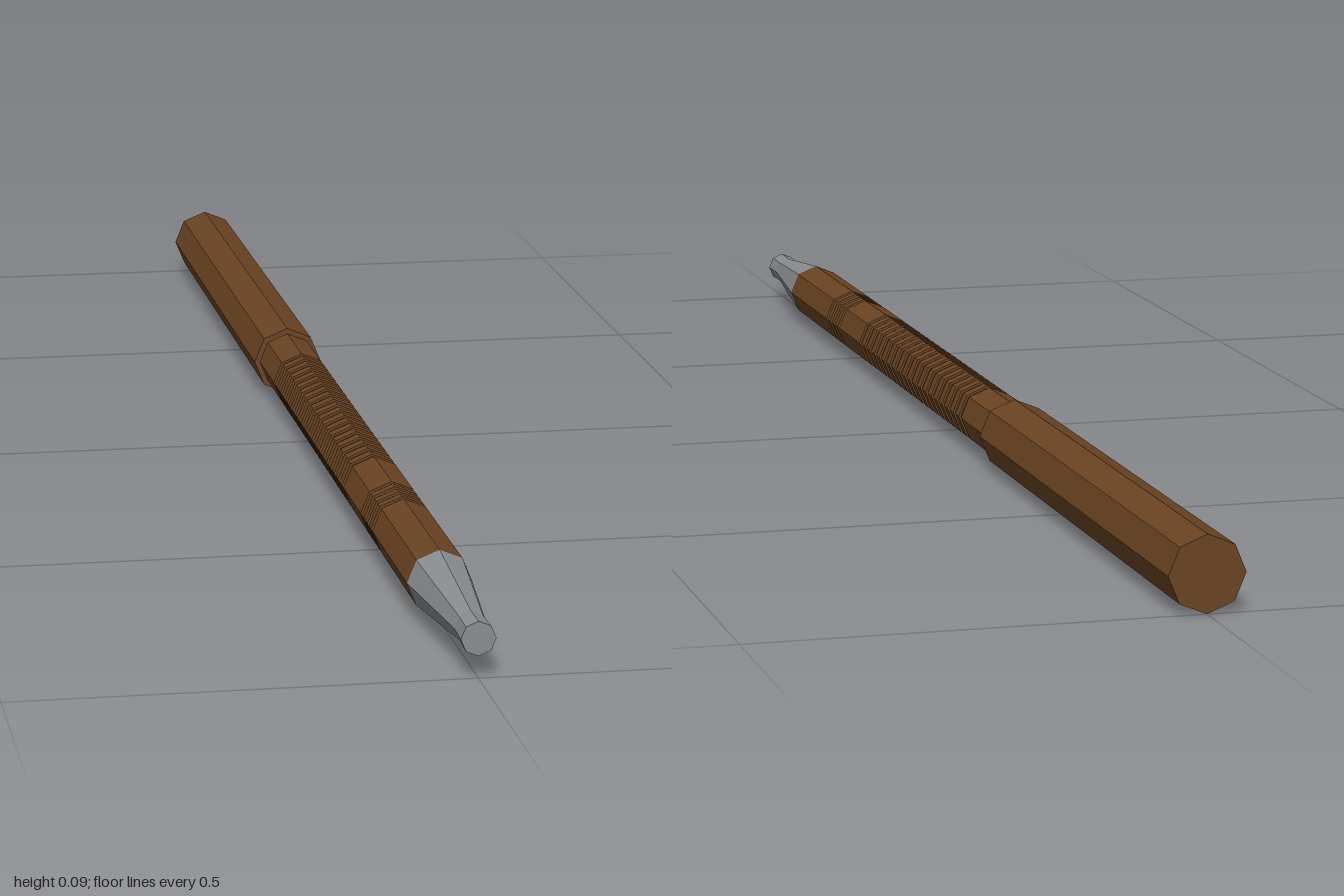
import * as THREE from 'three';

const wood = new THREE.MeshStandardMaterial({ color: 0x6b4423, flatShading: true });
wood.name = 'brown wood';
const metal = new THREE.MeshStandardMaterial({ color: 0x8a8d90, flatShading: true });
metal.name = 'grey metal';

const BUTT = 0.043, SHAFT = 0.036, GROOVE = 0.033;

// Octagonal solid turned along z from [radius, z] pairs, back to front
function turned(name, profile, material) {
  const points = profile.map(([r, z]) => new THREE.Vector2(r, z));
  const geometry = new THREE.LatheGeometry(points, 8).rotateX(Math.PI / 2).toNonIndexed();
  geometry.computeVertexNormals();
  const mesh = new THREE.Mesh(geometry, material);
  mesh.name = name;
  mesh.position.y = BUTT;
  return mesh;
}

// Evenly spaced square grooves between two z positions
function grooves(from, to, count) {
  const step = (to - from) / count;
  const profile = [];
  for (let i = 0; i < count; i++) {
    const a = from + (i + 0.3) * step, b = from + (i + 0.7) * step;
    profile.push([SHAFT, a], [GROOVE, a], [GROOVE, b], [SHAFT, b]);
  }
  return profile;
}

export function createModel() {
  const model = new THREE.Group();
  model.name = 'stick';

  // Thick plain rear half
  model.add(turned('buttHandle', [[0, -1], [BUTT, -1], [BUTT, -0.25], [0, -0.25]], wood));

  // Slimmer shaft with a long and a short band of grooves
  model.add(turned('groovedShaft', [
    [SHAFT, -0.25],
    ...grooves(-0.145, 0.39, 20),
    ...grooves(0.49, 0.578, 4),
    [SHAFT, 0.785],
  ], wood));

  // Tapered metal point with a blunt end
  model.add(turned('metalTip', [
    [SHAFT, 0.785], [0.018, 0.96], [0.019, 1], [0, 1],
  ], metal));

  return model;
}
